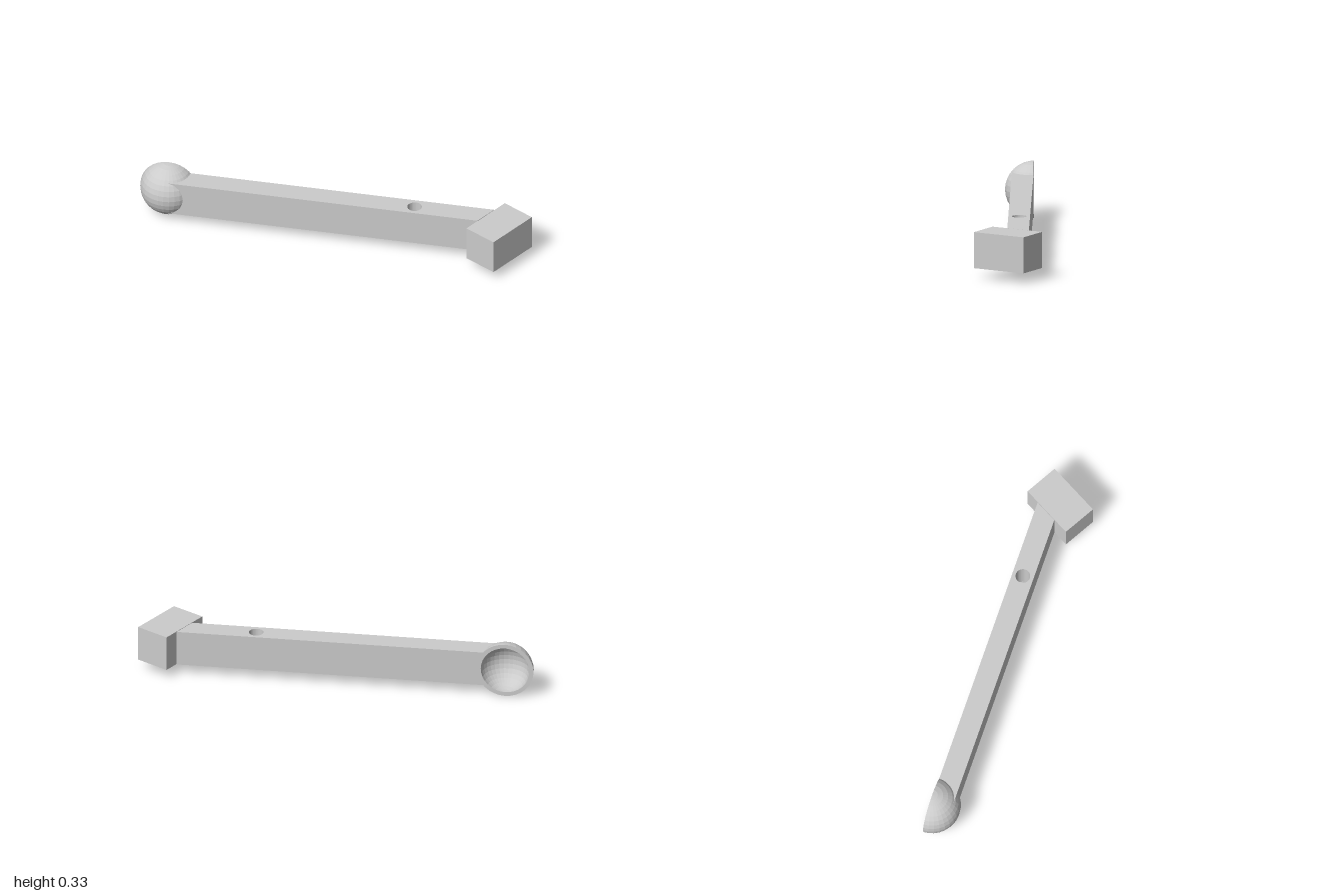
import * as THREE from 'three';

const TILT = Math.PI / 6;
const MID_Y = 0.165;
const BEAM_H = 0.21, BEAM_W = 0.125;
const R_OUT = 0.165, R_IN = 0.141, R_SEAT = 0.153;

const grey = (side = THREE.FrontSide) =>
  new THREE.MeshStandardMaterial({ color: 0xcccccc, flatShading: true, side });

function part(name, geometry, material = grey()) {
  const mesh = new THREE.Mesh(geometry, material);
  mesh.name = name;
  return mesh;
}

// Distance along the beam at which it meets the bowl wall
const seat = (y, z) => Math.sqrt(Math.max(0, R_SEAT ** 2 - y * y - z * z));

// Beam in plan: x runs along it from the bowl centre, y across it
function beamGeometry() {
  const shape = new THREE.Shape();
  shape.moveTo(seat(0, 0), 0);
  shape.lineTo(1.902, 0);
  shape.lineTo(1.83, BEAM_W);
  for (let i = 10; i > 0; i--) {
    const z = BEAM_W * i / 10;
    shape.lineTo(seat(0, z), z);
  }
  shape.closePath();
  const hole = new THREE.Path();
  hole.absarc(1.45, BEAM_W / 2, 0.042, 0, Math.PI * 2, true);
  shape.holes.push(hole);

  const geo = new THREE.ExtrudeGeometry(shape, {
    depth: BEAM_H, steps: 10, bevelEnabled: false, curveSegments: 16,
  });
  geo.rotateX(Math.PI / 2).translate(0, BEAM_H / 2, 0);

  // Hollow the bowl end so it follows the round wall
  const p = geo.attributes.position;
  for (let i = 0; i < p.count; i++) {
    if (p.getX(i) < 0.3) p.setX(i, seat(p.getY(i), p.getZ(i)));
  }
  geo.computeVertexNormals();
  return geo;
}

export function createModel() {
  const model = new THREE.Group();
  model.name = 'throwingArm';

  // Tilted arm, with its origin at the bowl centre
  const arm = new THREE.Group();
  arm.name = 'arm';
  arm.position.set(-0.857, MID_Y, 0.437);
  arm.rotation.y = TILT;
  arm.add(part('beam', beamGeometry()));

  // Half-round bowl: outer shell, hollow and flat rim
  const half = (r) => new THREE.SphereGeometry(r, 16, 16, 0, Math.PI);
  const bowl = new THREE.Group();
  bowl.name = 'bowl';
  bowl.add(part('bowlOutside', half(R_OUT)));
  bowl.add(part('bowlInside', half(R_IN), grey(THREE.BackSide)));
  bowl.add(part('bowlRim', new THREE.RingGeometry(R_IN, R_OUT, 32).rotateY(Math.PI)));
  arm.add(bowl);
  model.add(arm);

  // Square-set block at the other end
  const block = part('endBlock', new THREE.BoxGeometry(0.207, BEAM_H, 0.331));
  block.position.set(0.8965, MID_Y, -0.438);
  model.add(block);

  return model;
}
